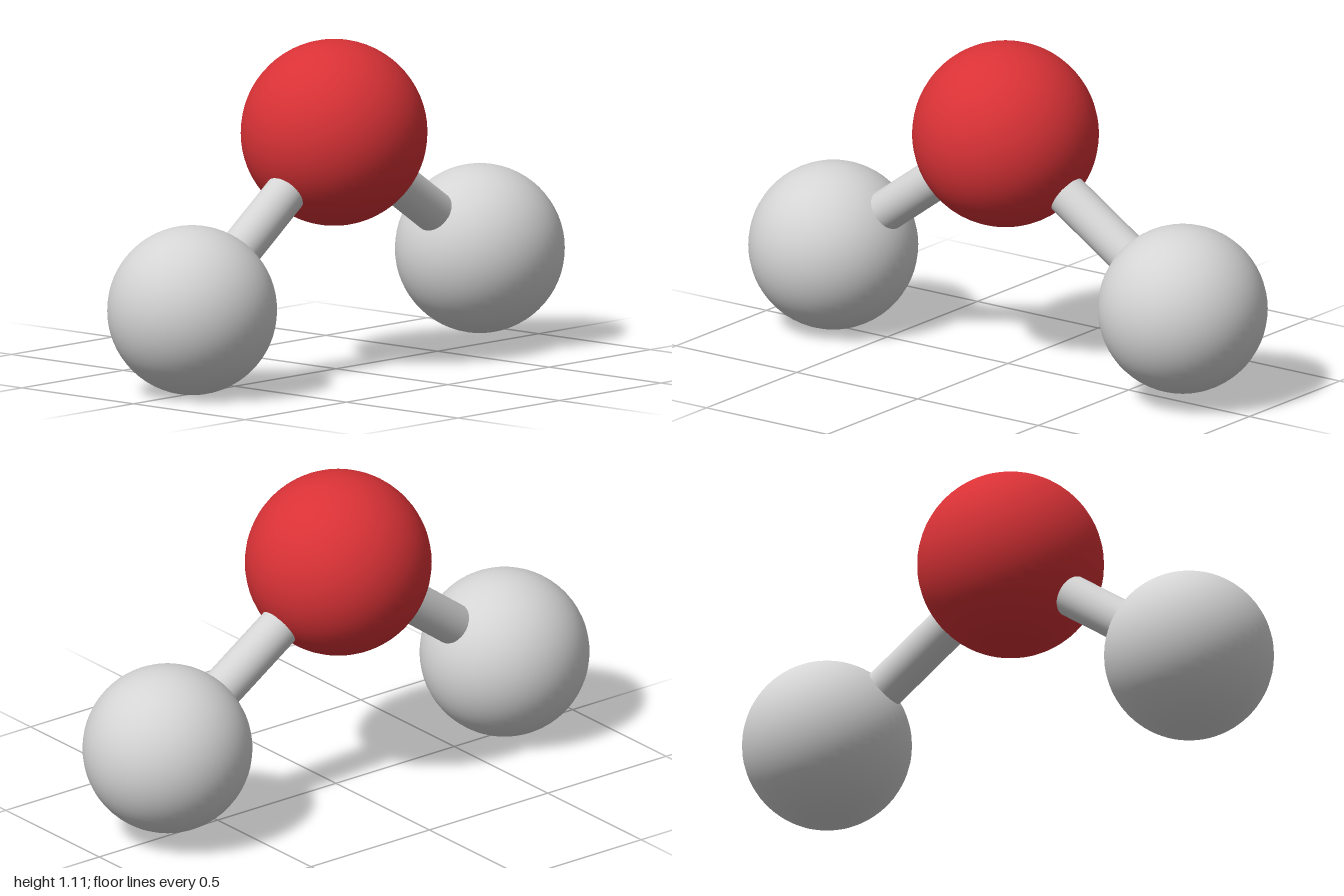
import * as THREE from 'three';

export function createModel() {
  const model = new THREE.Group();
  const red = new THREE.MeshStandardMaterial({ name: 'red', color: 0xd93236 });
  const grey = new THREE.MeshStandardMaterial({ name: 'light grey', color: 0xd4d4d4 });

  const centre = new THREE.Vector3(-0.01, 0.795, 0);
  const leftEnd = new THREE.Vector3(0.718, 0.32, -0.008);
  const rightEnd = new THREE.Vector3(-0.718, 0.282, 0.007);

  function addBall(name, position, radius, material) {
    const ball = new THREE.Mesh(new THREE.SphereGeometry(radius, 48, 32), material);
    ball.name = name;
    ball.position.copy(position);
    model.add(ball);
  }

  // Open rod running between two ball centres
  function addRod(name, from, to) {
    const span = to.clone().sub(from);
    const rod = new THREE.Mesh(new THREE.CylinderGeometry(0.07, 0.07, span.length(), 32, 1, true), grey);
    rod.name = name;
    rod.position.copy(from).addScaledVector(span, 0.5);
    rod.quaternion.setFromUnitVectors(new THREE.Vector3(0, 1, 0), span.normalize());
    model.add(rod);
  }

  addBall('centreBall', centre, 0.31, red);
  addBall('leftBall', leftEnd, 0.282, grey);
  addBall('rightBall', rightEnd, 0.282, grey);
  addRod('leftRod', centre, leftEnd);
  addRod('rightRod', centre, rightEnd);

  return model;
}
